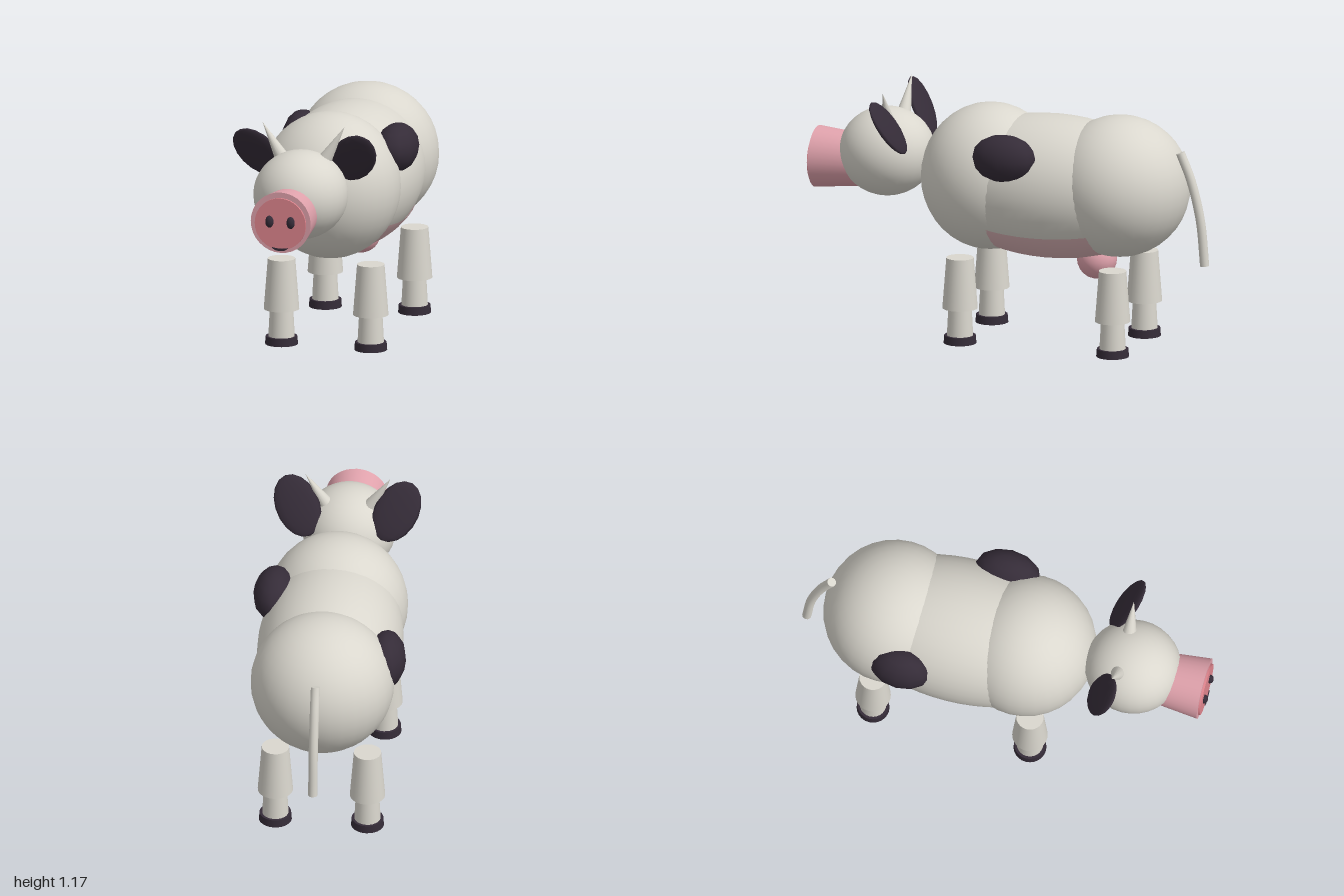
import * as THREE from 'three';

const mat = (name, color, extra = {}) => {
  const m = new THREE.MeshStandardMaterial({ color, ...extra });
  m.name = name;
  return m;
};

export function createModel() {
  const hide = mat('hide white', 0xdad7ce);
  const dark = mat('dark patch', 0x352c38);
  const pink = mat('snout pink', 0xe0a2ac);
  const rose = mat('nose rose', 0xe0858e);
  const bellyPink = mat('belly pink', 0xdbb3b6, { side: THREE.DoubleSide });

  const cow = new THREE.Group();
  cow.name = 'cow';

  const add = (name, geometry, material, pos = [0, 0, 0], parent = cow) => {
    const mesh = new THREE.Mesh(geometry, material);
    mesh.name = name;
    mesh.position.set(...pos);
    parent.add(mesh);
    return mesh;
  };
  const ball = (name, material, pos, radii, seg = 32) =>
    add(name, new THREE.SphereGeometry(1, seg, Math.ceil(seg * 0.6)).scale(...radii), material, pos);

  // Body: chest and rump balls joined by a long barrel
  ball('chest', hide, [0, 0.77, 0.1], [0.335, 0.35, 0.33]);
  ball('rump', hide, [0, 0.775, -0.55], [0.34, 0.337, 0.335]);
  add('barrel', new THREE.SphereGeometry(1, 40, 28).rotateX(Math.PI / 2).scale(0.342, 0.34, 0.61),
    hide, [0, 0.75, -0.21]);

  // Belly skin just outside the underside of the barrel
  add('belly', new THREE.SphereGeometry(1, 20, 28, Math.PI / 2 - 0.97, 1.94)
    .rotateX(Math.PI / 2).scale(0.347, 0.345, 0.62), bellyPink, [0, 0.75, -0.21]);
  ball('udder', pink, [0, 0.41, -0.435], [0.095, 0.095, 0.095], 20);

  // Dark patches bulging from the flanks
  ball('leftPatch', dark, [0.28, 0.93, -0.07], [0.1, 0.115, 0.16], 12);
  ball('rightPatch', dark, [-0.29, 0.85, -0.44], [0.095, 0.135, 0.15], 12);

  // Head and snout
  ball('head', hide, [0, 0.846, 0.62], [0.224, 0.212, 0.229]);
  add('snout', new THREE.CylinderGeometry(0.147, 0.122, 0.24, 32).rotateX(Math.PI / 2), pink, [0, 0.79, 0.85]);
  add('nosePad', new THREE.CylinderGeometry(0.125, 0.125, 0.02, 32).rotateX(Math.PI / 2), rose, [0, 0.785, 0.97]);

  // Mouth: a thin, slightly smiling crescent
  const lip = new THREE.Shape();
  lip.moveTo(-0.04, 0.008);
  lip.quadraticCurveTo(0, -0.002, 0.04, 0.008);
  lip.quadraticCurveTo(0.03, -0.008, 0, -0.009);
  lip.quadraticCurveTo(-0.03, -0.008, -0.04, 0.008);
  add('mouth', new THREE.ExtrudeGeometry(lip, { depth: 0.009, bevelEnabled: false, curveSegments: 8 }),
    dark, [0, 0.664, 0.975]);

  // Mirrored head parts
  for (const s of [1, -1]) {
    const side = s > 0 ? 'left' : 'right';
    ball(side + 'Nostril', dark, [s * 0.052, 0.795, 0.982], [0.02, 0.029, 0.018], 16);

    const ear = ball(side + 'Ear', dark, [s * 0.235, 1.017, 0.53], [0.105, 0.155, 0.022], 14);
    ear.rotation.set(0.52, 0, -s * 0.45, 'XYZ');

    const base = new THREE.Vector3(s * 0.1, 1.0, 0.575);
    const tip = new THREE.Vector3(s * 0.202, 1.175, 0.57);
    const dir = tip.clone().sub(base);
    const horn = add(side + 'Horn', new THREE.ConeGeometry(0.036, dir.length(), 16), hide,
      base.clone().add(tip).multiplyScalar(0.5).toArray());
    horn.quaternion.setFromUnitVectors(new THREE.Vector3(0, 1, 0), dir.normalize());
  }

  // Legs
  for (const [place, z] of [['front', 0.174], ['back', -0.594]]) {
    for (const s of [1, -1]) {
      const leg = new THREE.Group();
      leg.name = place + (s > 0 ? 'Left' : 'Right') + 'Leg';
      leg.position.set(s * 0.219, 0, z);
      cow.add(leg);
      add('upperLeg', new THREE.CylinderGeometry(0.065, 0.084, 0.245, 24), hide, [0, 0.2925, 0], leg);
      add('lowerLeg', new THREE.CylinderGeometry(0.055, 0.064, 0.17, 24), hide, [0, 0.095, 0], leg);
      add('hoof', new THREE.CylinderGeometry(0.075, 0.078, 0.038, 24), dark, [0, 0.019, 0], leg);
    }
  }

  // Tail: drooping tube with flat end caps
  const tailPath = new THREE.CatmullRomCurve3([
    [0, 0.96, -0.855], [0, 0.83, -0.908], [0, 0.64, -0.955], [0, 0.42, -0.977],
  ].map((p) => new THREE.Vector3(...p)));
  add('tail', new THREE.TubeGeometry(tailPath, 24, 0.022, 14), hide);
  for (const t of [0, 1]) {
    const cap = add('tailEnd', new THREE.CircleGeometry(0.022, 14), hide, tailPath.getPoint(t).toArray());
    const out = tailPath.getTangent(t).multiplyScalar(t ? 1 : -1);
    cap.quaternion.setFromUnitVectors(new THREE.Vector3(0, 0, 1), out);
  }

  return cow;
}
